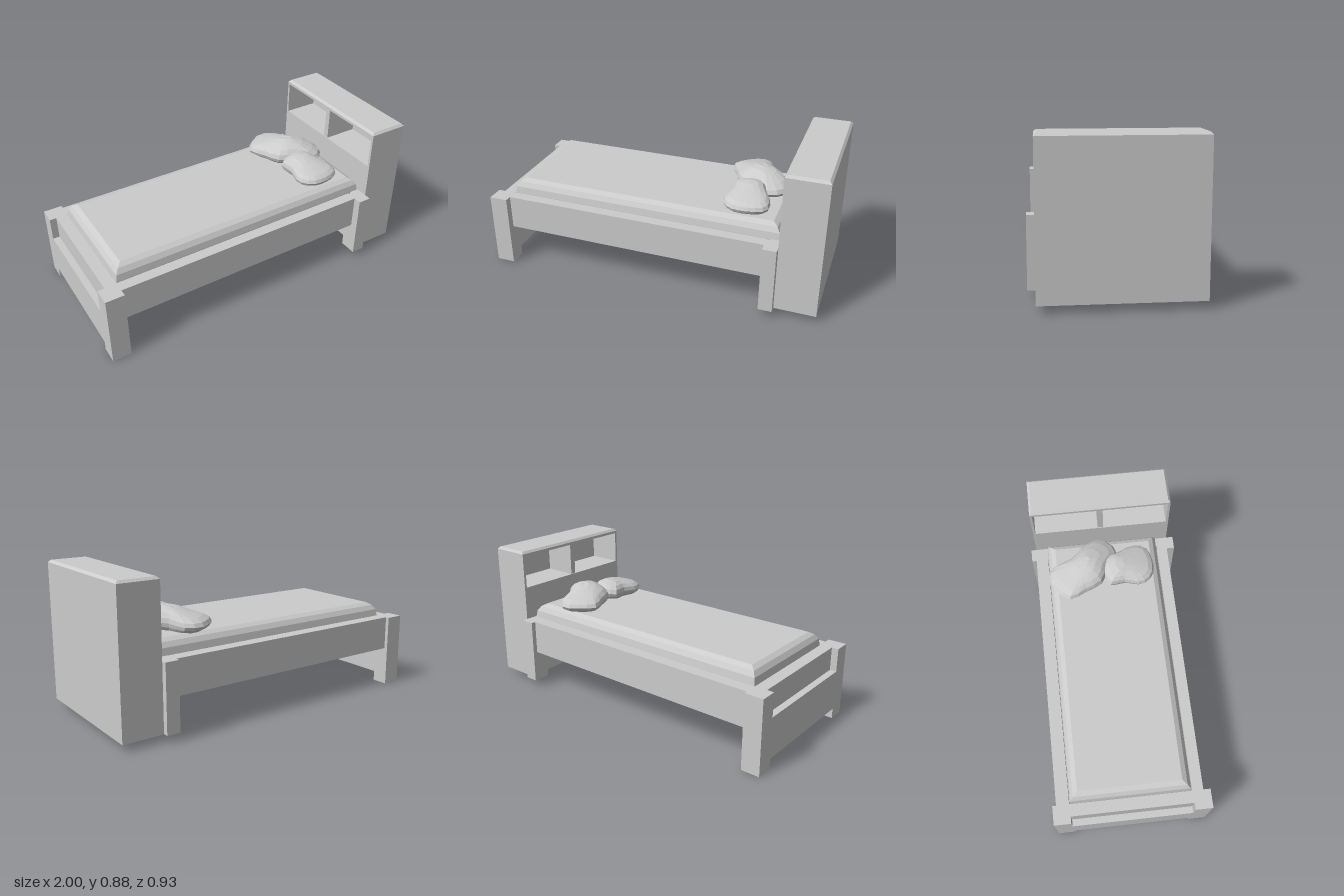
import * as THREE from 'three';

const material = new THREE.MeshStandardMaterial({ color: 0xcccccc, flatShading: true });

// Adds a box given by its low and high corner coordinates
function addBox(parent, name, [x0, x1], [y0, y1], [z0, z1]) {
  const mesh = new THREE.Mesh(new THREE.BoxGeometry(x1 - x0, y1 - y0, z1 - z0), material);
  mesh.position.set((x0 + x1) / 2, (y0 + y1) / 2, (z0 + z1) / 2);
  mesh.name = name;
  parent.add(mesh);
  return mesh;
}

// Skins a stack of closed rings (counterclockwise from above, bottom first) and caps both ends
function loft(name, rings) {
  const n = rings[0].length;
  const pos = rings.flat().flatMap((p) => [p.x, p.y, p.z]);
  const index = [];
  for (let i = 0; i < rings.length - 1; i++) {
    for (let j = 0; j < n; j++) {
      const k = (j + 1) % n;
      const a = i * n + j, b = i * n + k;
      index.push(a, b, b + n, a, b + n, a + n);
    }
  }
  for (const top of [false, true]) {
    const row = top ? rings.length - 1 : 0;
    const c = new THREE.Vector3();
    rings[row].forEach((p) => c.addScaledVector(p, 1 / n));
    const centre = pos.length / 3;
    pos.push(c.x, c.y, c.z);
    for (let j = 0; j < n; j++) {
      const a = row * n + j, b = row * n + ((j + 1) % n);
      index.push(centre, top ? a : b, top ? b : a);
    }
  }
  const geo = new THREE.BufferGeometry();
  geo.setAttribute('position', new THREE.Float32BufferAttribute(pos, 3));
  geo.setIndex(index);
  geo.computeVertexNormals();
  const mesh = new THREE.Mesh(geo, material);
  mesh.name = name;
  return mesh;
}

// Rectangular block whose edge is drawn in by a [height, inset] profile
function insetBlock(name, [x0, x1], [z0, z1], profile) {
  return loft(name, profile.map(([y, d]) => [
    new THREE.Vector3(x0 + d, y, z1 - d),
    new THREE.Vector3(x1 - d, y, z1 - d),
    new THREE.Vector3(x1 - d, y, z0 + d),
    new THREE.Vector3(x0 + d, y, z0 + d),
  ]));
}

// Soft faceted cushion: a plan outline swelling from the mattress, highest near its peak
function pillow(name, outline, [cx, cz], base, thickness, [px, pz], rise) {
  const curve = new THREE.CatmullRomCurve3(
    outline.map(([x, z]) => new THREE.Vector3(x, 0, z)), true);
  let pts = curve.getSpacedPoints(22).slice(0, -1);
  const area = pts.reduce((s, p, i) => {
    const q = pts[(i + 1) % pts.length];
    return s + p.x * q.z - q.x * p.z;
  }, 0);
  if (area > 0) pts = pts.reverse();
  const profile = [[0, 0.8], [0.22, 0.95], [0.45, 1], [0.7, 0.94], [0.88, 0.78], [0.97, 0.5], [1, 0.2]];
  return loft(name, profile.map(([h, s]) => pts.map((p) => {
    const x = cx + (p.x - cx) * s, z = cz + (p.z - cz) * s;
    const bump = rise * Math.exp(-((x - px) ** 2 + (z - pz) ** 2) / 0.02);
    return new THREE.Vector3(x, base + h * (thickness + bump), z);
  })));
}

export function createModel() {
  const bed = new THREE.Group();
  bed.name = 'bed';

  // Foot end: two posts, a lower panel and a set-back upper panel
  const foot = new THREE.Group();
  foot.name = 'footboard';
  bed.add(foot);
  for (const s of [-1, 1]) {
    addBox(foot, 'footPost', [-1, -0.89], [0, 0.44], s < 0 ? [-0.457, -0.357] : [0.355, 0.457]);
  }
  addBox(foot, 'footPanelLower', [-1, -0.89], [0.06, 0.3], [-0.357, 0.355]);
  addBox(foot, 'footPanelUpper', [-0.96, -0.89], [0.3, 0.44], [-0.357, 0.355]);

  // Head end: posts and the panel between them
  const head = new THREE.Group();
  head.name = 'headFrame';
  bed.add(head);
  for (const s of [-1, 1]) {
    addBox(head, 'headPost', [0.68, 0.76], [0.045, 0.44], s < 0 ? [-0.463, -0.357] : [0.355, 0.463]);
  }
  addBox(head, 'headPanel', [0.7, 0.76], [0.09, 0.44], [-0.357, 0.355]);

  // Side rails and the base under the mattress
  addBox(bed, 'sideRail', [-0.89, 0.68], [0.235, 0.44], [-0.435, -0.36]);
  addBox(bed, 'sideRail', [-0.89, 0.68], [0.235, 0.44], [0.35, 0.415]);
  addBox(bed, 'base', [-0.89, 0.7], [0.24, 0.26], [-0.36, 0.35]);

  // Mattress with rounded upper edge
  bed.add(insetBlock('mattress', [-0.888, 0.755], [-0.358, 0.346],
    [[0.26, 0], [0.44, 0], [0.48, 0.007], [0.508, 0.025], [0.525, 0.053]]));

  // Bookcase headboard: solid below, two open cubbies above, bevelled cap
  const board = new THREE.Group();
  board.name = 'headboard';
  bed.add(board);
  addBox(board, 'headboardBody', [0.76, 1], [0.043, 0.645], [-0.43, 0.42]);
  addBox(board, 'shelfBack', [0.975, 1], [0.645, 0.845], [-0.43, 0.42]);
  for (const [z0, z1] of [[-0.43, -0.415], [0.405, 0.42]]) {
    addBox(board, 'shelfSide', [0.76, 0.975], [0.645, 0.845], [z0, z1]);
  }
  addBox(board, 'shelfDivider', [0.765, 0.975], [0.645, 0.845], [-0.025, 0.01]);
  board.add(insetBlock('headboardCap', [0.76, 1], [-0.43, 0.42],
    [[0.845, 0], [0.861, 0], [0.875, 0.014]]));

  // Two rumpled pillows
  bed.add(pillow('largePillow',
    [[0.33, -0.24], [0.4, -0.32], [0.48, -0.36], [0.55, -0.33], [0.6, -0.2], [0.69, -0.11],
      [0.72, -0.01], [0.63, 0.08], [0.53, 0.02], [0.42, -0.03], [0.37, -0.14]],
    [0.53, -0.14], 0.522, 0.08, [0.54, -0.1], 0.05));
  bed.add(pillow('smallPillow',
    [[0.4, 0.02], [0.48, -0.02], [0.58, 0], [0.61, 0.08], [0.65, 0.16], [0.65, 0.25],
      [0.58, 0.29], [0.45, 0.29], [0.39, 0.22], [0.41, 0.1]],
    [0.52, 0.14], 0.522, 0.075, [0.52, 0.05], 0.04));

  return bed;
}
